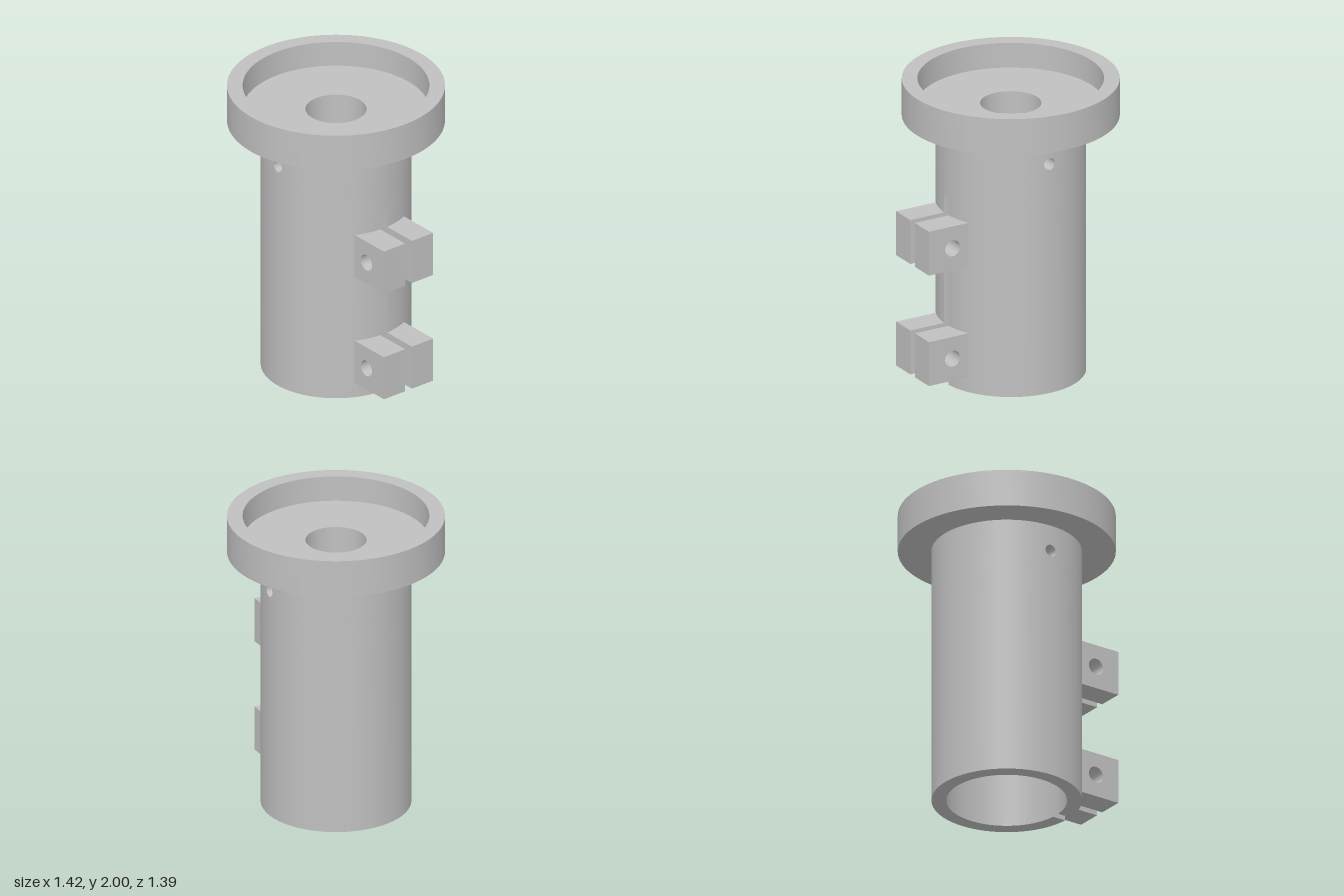
import * as THREE from 'three';
import { toCreasedNormals } from 'three/addons/utils/BufferGeometryUtils.js';
import { ParametricGeometry } from 'three/addons/geometries/ParametricGeometry.js';

const OUTER = 0.48, BORE = 0.385, POCKET = 0.195, SLIT = 0.028;
const BORE_TOP = 1.28, PIN_Y = 1.575, PIN_R = 0.04, PATCH = 0.08;

export function createModel() {
  const grey = new THREE.MeshStandardMaterial({ color: 0xc0c0c0, side: THREE.DoubleSide });
  grey.name = 'plain grey';
  const model = new THREE.Group();
  model.name = 'clampSocket';
  const body = new THREE.Group();
  body.name = 'body';
  body.position.x = -0.02;
  model.add(body);

  const add = (name, geometry, parent = body) => {
    const mesh = new THREE.Mesh(geometry, grey);
    mesh.name = name;
    parent.add(mesh);
    return mesh;
  };
  const lathe = (points) => toCreasedNormals(
    new THREE.LatheGeometry(points.map(([r, y]) => new THREE.Vector2(r, y)), 128), 0.6);

  // Lower tube: a ring with a slit on the +x side
  const a = Math.asin(SLIT / OUTER), b = Math.asin(SLIT / BORE);
  const ring = new THREE.Shape();
  ring.absarc(0, 0, OUTER, a, Math.PI * 2 - a, false);
  ring.absarc(0, 0, BORE, Math.PI * 2 - b, b, true);
  ring.closePath();
  const tube = new THREE.ExtrudeGeometry(ring, { depth: BORE_TOP, bevelEnabled: false, curveSegments: 128 });
  tube.rotateX(-Math.PI / 2);
  add('slitTube', toCreasedNormals(tube, 0.5));

  // Closed end of the bore and the plain wall up to the pin hole
  add('lowerNeck', lathe([[0, BORE_TOP], [OUTER, BORE_TOP], [OUTER, PIN_Y - PATCH]]));

  // Neck above the pin hole, flange, recess and upper part of the pocket
  add('flange', lathe([
    [OUTER, PIN_Y + PATCH], [OUTER, 1.75], [0.695, 1.75], [0.695, 2], [0.595, 2],
    [0.595, 1.83], [POCKET, 1.83], [POCKET, PIN_Y + PATCH],
  ]));
  add('pocketFloor', lathe([[POCKET, PIN_Y - PATCH], [POCKET, 1.4], [0, 1.4]]));

  // Cylindrical band pierced front and back by the pin hole
  const onWall = (x, y, radius, target) => target.set(x, PIN_Y + y, Math.sqrt(radius * radius - x * x));
  const piercedBand = (name, radius) => {
    const band = new THREE.Group();
    band.name = name;
    body.add(band);
    const start = Math.asin(PATCH / radius);
    for (const side of [0, 1]) {
      const arc = add('wall', new THREE.CylinderGeometry(radius, radius, PATCH * 2, 64, 1, true,
        start + side * Math.PI, Math.PI - 2 * start), band);
      arc.position.y = PIN_Y;
      // Square patch with a round hole, wrapped onto the wall
      const patch = new ParametricGeometry((u, v, target) => {
        const t = -u * Math.PI * 2, c = Math.cos(t), s = Math.sin(t);
        const edge = PATCH / Math.max(Math.abs(c), Math.abs(s));
        const r = PIN_R + (edge - PIN_R) * v;
        onWall(c * r, s * r, radius, target);
      }, 64, 4);
      add('holeSurround', patch, band).rotation.y = side * Math.PI;
    }
  };
  piercedBand('outerPinBand', OUTER);
  piercedBand('pocketPinBand', POCKET);

  // Pin hole lining between the outer wall and the pocket
  for (const side of [0, 1]) {
    const lining = new ParametricGeometry((u, v, target) => {
      const x = PIN_R * Math.cos(u * Math.PI * 2), y = PIN_R * Math.sin(u * Math.PI * 2);
      onWall(x, y, OUTER, target);
      target.z += (Math.sqrt(POCKET * POCKET - x * x) - target.z) * v;
    }, 64, 1);
    add('pinHole', lining).rotation.y = side * Math.PI;
  }

  // Two pairs of bored clamp lugs beside the slit
  const lug = new THREE.Shape();
  lug.moveTo(0.436, -0.151);
  lug.lineTo(0.73, -0.151);
  lug.lineTo(0.73, 0.151);
  lug.lineTo(0.436, 0.151);
  lug.closePath();
  const bolt = new THREE.Path();
  bolt.absarc(0.555, 0, 0.055, 0, Math.PI * 2, true);
  lug.holes.push(bolt);
  const lugGeometry = toCreasedNormals(
    new THREE.ExtrudeGeometry(lug, { depth: 0.203 - SLIT, bevelEnabled: false, curveSegments: 32 }), 0.5);
  for (const y of [0.255, 1.015]) {
    add('frontClampLug', lugGeometry).position.set(0, y, SLIT);
    add('backClampLug', lugGeometry).position.set(0, y, -0.203);
  }
  return model;
}
